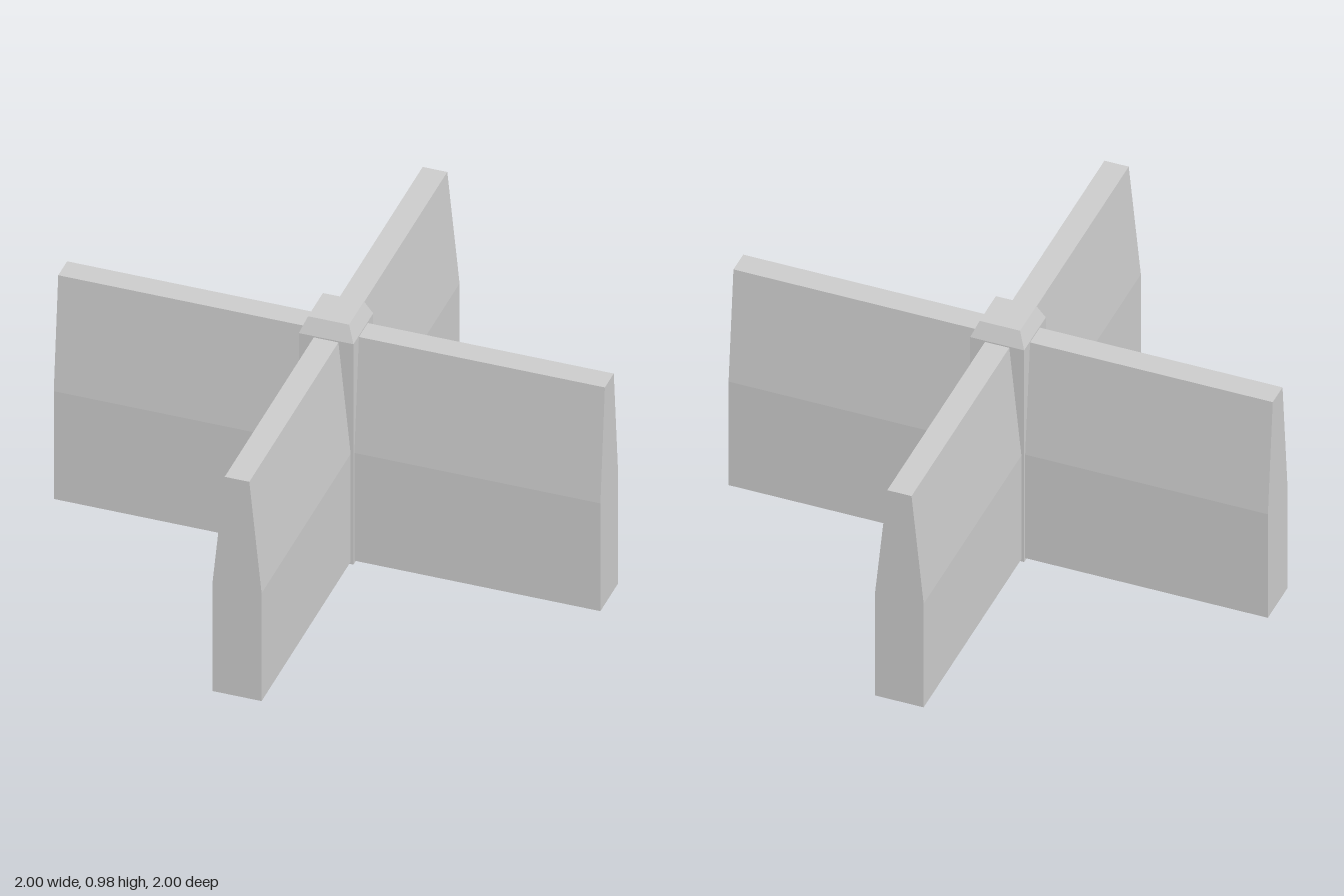
import * as THREE from 'three';

const material = new THREE.MeshStandardMaterial({ color: 0xcccccc, flatShading: true });

// Square prism section between two heights, with half-widths at bottom and top
function squareSection(name, y0, y1, half0, half1) {
  const geometry = new THREE.CylinderGeometry(half1 * Math.SQRT2, half0 * Math.SQRT2, y1 - y0, 4, 1, true);
  geometry.rotateY(Math.PI / 4);
  geometry.translate(0, (y0 + y1) / 2, 0);
  const mesh = new THREE.Mesh(geometry, material);
  mesh.name = name;
  return mesh;
}

// Horizontal square cap, facing up or down
function cap(name, y, half, up) {
  const geometry = new THREE.PlaneGeometry(half * 2, half * 2);
  geometry.rotateX(up ? -Math.PI / 2 : Math.PI / 2);
  geometry.translate(0, y, 0);
  const mesh = new THREE.Mesh(geometry, material);
  mesh.name = name;
  return mesh;
}

export function createModel() {
  const model = new THREE.Group();
  model.name = 'crossWall';

  // Wall section: straight lower half, tapering upper half
  const profile = new THREE.Shape([
    [-0.09, 0.01], [0.09, 0.01], [0.09, 0.46], [0.045, 0.915], [-0.045, 0.915], [-0.09, 0.46],
  ].map(([x, y]) => new THREE.Vector2(x, y)));

  // Two full-length walls crossing at the centre
  const wallGeometry = new THREE.ExtrudeGeometry(profile, { depth: 2, bevelEnabled: false });
  wallGeometry.translate(0, 0, -1);
  ['wallFrontToBack', 'wallLeftToRight'].forEach((name, i) => {
    const wall = new THREE.Mesh(wallGeometry, material);
    wall.name = name;
    wall.rotation.y = i * Math.PI / 2;
    model.add(wall);
  });

  // Central post with a chamfered top
  const post = new THREE.Group();
  post.name = 'centrePost';
  post.add(
    squareSection('postShaft', 0, 0.92, 0.1, 0.1),
    squareSection('postChamfer', 0.92, 0.98, 0.1, 0.075),
    cap('postTop', 0.98, 0.075, true),
    cap('postBase', 0, 0.1, false),
  );
  model.add(post);

  return model;
}
